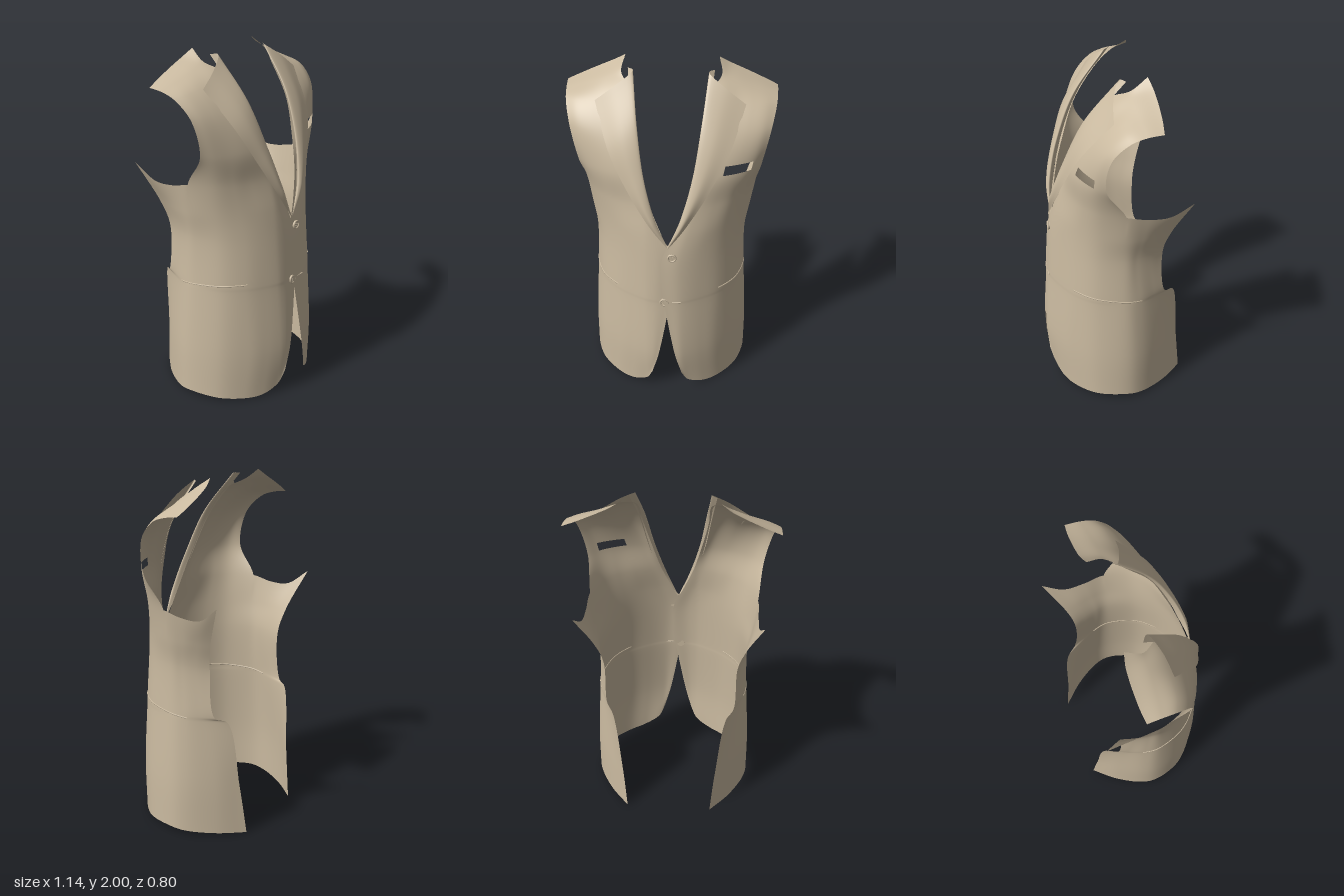
import * as THREE from 'three';

const V = (x, y, z) => new THREE.Vector3(x, y, z);
const triples = (a) => Array.from({ length: a.length / 3 }, (_, i) => V(a[3 * i], a[3 * i + 1], a[3 * i + 2]));
const level = (y, a) => Array.from({ length: a.length / 2 }, (_, i) => V(a[2 * i], y, a[2 * i + 1]));
const smooth = (pts, type = 'catmullrom') => new THREE.CatmullRomCurve3(pts, false, type);

const SU = 8, SV = 12; // subdivisions between neighbouring sections

// Cross-sections from the front edge round to the back edge, hem to armhole
const hem = triples([0.09, 0.14, 0.39, 0.13, 0.06, 0.365, 0.22, 0.015, 0.325, 0.32, 0.01, 0.26, 0.42, 0.02, 0.15,
  0.47, 0.03, 0, 0.455, 0.02, -0.12, 0.37, 0.01, -0.27, 0.255, 0.002, -0.4]);
const skirt = level(0.3, [0.05, 0.4, 0.1, 0.39, 0.2, 0.345, 0.3, 0.28, 0.41, 0.16, 0.465, 0, 0.45, -0.12, 0.37, -0.26, 0.28, -0.365]);
const ventTop = level(0.69, [-0.015, 0.38, 0.08, 0.37, 0.19, 0.325, 0.3, 0.255, 0.39, 0.15, 0.44, 0, 0.43, -0.1, 0.385, -0.205, 0.33, -0.315]);
const waist = level(0.72, [-0.02, 0.378, 0.08, 0.369, 0.19, 0.324, 0.3, 0.254, 0.39, 0.149, 0.438, 0, 0.429, -0.1, 0.395, -0.19, 0.37, -0.255]);
const ribs = level(1.0, [-0.03, 0.355, 0.07, 0.35, 0.18, 0.31, 0.29, 0.24, 0.38, 0.14, 0.43, 0, 0.425, -0.08, 0.405, -0.16, 0.38, -0.23]);
const chestLow = level(1.15, [0.03, 0.33, 0.11, 0.322, 0.21, 0.285, 0.31, 0.22, 0.395, 0.13, 0.45, 0, 0.45, -0.1, 0.435, -0.19, 0.42, -0.26]);
const armholeBase = triples([0.095, 1.32, 0.29, 0.16, 1.32, 0.28, 0.25, 1.32, 0.25, 0.34, 1.32, 0.205, 0.42, 1.32, 0.13,
  0.475, 1.32, 0, 0.48, 1.295, -0.12, 0.485, 1.3, -0.24, 0.51, 1.385, -0.355]);
const lowerRows = [hem, skirt, ventTop, waist, ribs, chestLow, armholeBase];

// Cross-sections from the front edge to the armhole, chest to shoulder seam
const upperRows = [
  level(1.5, [0.14, 0.235, 0.2, 0.25, 0.29, 0.235, 0.37, 0.205, 0.44, 0.165, 0.495, 0.11]),
  level(1.7, [0.18, 0.16, 0.25, 0.17, 0.33, 0.155, 0.41, 0.14, 0.48, 0.12, 0.535, 0.09]),
  triples([0.2, 1.88, 0.04, 0.27, 1.865, 0.045, 0.35, 1.84, 0.04, 0.43, 1.825, 0.035, 0.5, 1.812, 0.025, 0.56, 1.8, 0]),
  triples([0.265, 1.94, -0.06, 0.3, 1.925, -0.06, 0.36, 1.902, -0.06, 0.43, 1.877, -0.065, 0.5, 1.853, -0.07, 0.567, 1.83, -0.08]),
  triples([0.25, 2, -0.15, 0.31, 1.962, -0.165, 0.38, 1.928, -0.17, 0.44, 1.9, -0.17, 0.5, 1.872, -0.168, 0.57, 1.84, -0.16]),
];

// Columns of points running up the panel; those behind the armhole stop early
function panelColumns() {
  const low = lowerRows.map((r) => smooth(r)), high = upperRows.map((r) => smooth(r));
  const columns = [];
  for (let i = 0; i <= 8 * SU; i++) {
    const u = i / SU;
    const pts = low.map((c) => c.getPoint(u / 8));
    if (u <= 5) pts.push(...high.map((c) => c.getPoint(u / 5)));
    columns.push(smooth(pts, 'centripetal').getPoints((pts.length - 1) * SV));
  }
  return columns;
}

// The right half is mirrored and tucked slightly behind the left at the closure
function place(p, side) {
  if (side > 0) return p.clone();
  const tuck = 0.015 * Math.min(1, Math.max(0, 1 - (p.x + 0.03) / 0.15));
  return V(-p.x, p.y, p.z - tuck);
}

function surface(columns, side, isHole = () => false) {
  const pos = [], index = [], start = [];
  columns.forEach((col) => {
    start.push(pos.length / 3);
    col.forEach((p) => pos.push(...place(p, side).toArray()));
  });
  for (let i = 0; i < columns.length - 1; i++) {
    const n = Math.min(columns[i].length, columns[i + 1].length) - 1;
    for (let j = 0; j < n; j++) {
      if (isHole(i, j)) continue;
      const a = start[i] + j, b = start[i + 1] + j;
      if (side > 0) index.push(a, b, b + 1, a, b + 1, a + 1);
      else index.push(a, b + 1, b, a, a + 1, b + 1);
    }
  }
  const g = new THREE.BufferGeometry();
  g.setAttribute('position', new THREE.Float32BufferAttribute(pos, 3));
  g.setIndex(index);
  g.computeVertexNormals();
  return g;
}

// Lapel: rolled inner edge, soft belly, outer edge lying on the chest
function lapelColumns() {
  const inner = smooth(triples([0, 1.09, 0.352, 0.07, 1.27, 0.333, 0.13, 1.5, 0.268, 0.168, 1.75, 0.16, 0.198, 1.975, -0.015]));
  const outer = smooth(triples([0.002, 1.08, 0.354, 0.1, 1.22, 0.335, 0.22, 1.42, 0.283, 0.32, 1.62, 0.207, 0.397, 1.83, 0.053]));
  const rows = 40, across = 18, columns = Array.from({ length: across + 1 }, () => []);
  for (let j = 0; j <= rows; j++) {
    const t = j / rows, a = inner.getPoint(t), b = outer.getPoint(t);
    const k = Math.min(1, t * 4);
    const mid = a.clone().lerp(b, 0.45).add(V(0, 0, 0.017 * k));
    const under = a.clone().add(V(0.03 * k, 0, -0.03 * k));
    const section = smooth([under, a, mid, b], 'centripetal');
    for (let i = 0; i <= across; i++) columns[i].push(section.getPoint(i / across));
  }
  return columns;
}

export function createModel() {
  const group = new THREE.Group();
  const cloth = new THREE.MeshStandardMaterial({ color: 0xcabaa0, side: THREE.DoubleSide });
  cloth.name = 'beige cloth';
  const add = (name, geometry, parent = group) => {
    const mesh = new THREE.Mesh(geometry, cloth);
    mesh.name = name;
    parent.add(mesh);
    return mesh;
  };

  const panel = panelColumns(), lapel = lapelColumns();
  // Open slot of the breast pocket, on the left only
  const breastSlot = (i, j) => i >= 2 * SU && i < 4 * SU && j >= 7 * SV && j < 7 * SV + 3;

  for (const side of [1, -1]) {
    const label = side > 0 ? 'left' : 'right';
    add(label + 'FrontPanel', surface(panel, side, side > 0 ? breastSlot : undefined));
    add(label + 'Lapel', surface(lapel, side));

    // Hip pocket edge following the waist
    const waistCurve = smooth(waist);
    const welt = [];
    for (let k = 0; k <= 14; k++) {
      const p = waistCurve.getPoint((2.9 + 3.2 * k / 14) / 8);
      p.y = 0.737 - 0.03 * (k / 14) ** 1.5;
      welt.push(place(p, side));
    }
    add(label + 'HipPocketEdge', new THREE.TubeGeometry(smooth(welt), 40, 0.004, 6));
  }

  // Buttons: disc, raised rim and crossed thread
  [[0.027, 1.025, 0.356], [-0.016, 0.705, 0.37]].forEach(([x, y, z], i) => {
    const button = new THREE.Group();
    button.name = i ? 'lowerButton' : 'upperButton';
    button.position.set(x, y, z);
    add('buttonDisc', new THREE.CylinderGeometry(0.024, 0.024, 0.008, 28), button).rotation.x = Math.PI / 2;
    add('buttonRim', new THREE.TorusGeometry(0.022, 0.005, 8, 28), button).position.z = 0.004;
    for (const turn of [1, -1]) {
      const thread = add('buttonThread', new THREE.BoxGeometry(0.02, 0.004, 0.004), button);
      thread.rotation.z = turn * Math.PI / 4;
      thread.position.z = 0.005;
    }
    group.add(button);
  });

  // Stitched buttonhole
  const hole = add('buttonhole', new THREE.CapsuleGeometry(0.004, 0.045, 4, 8));
  hole.rotation.z = Math.PI / 2;
  hole.position.set(0.055, 0.71, 0.374);

  return group;
}
